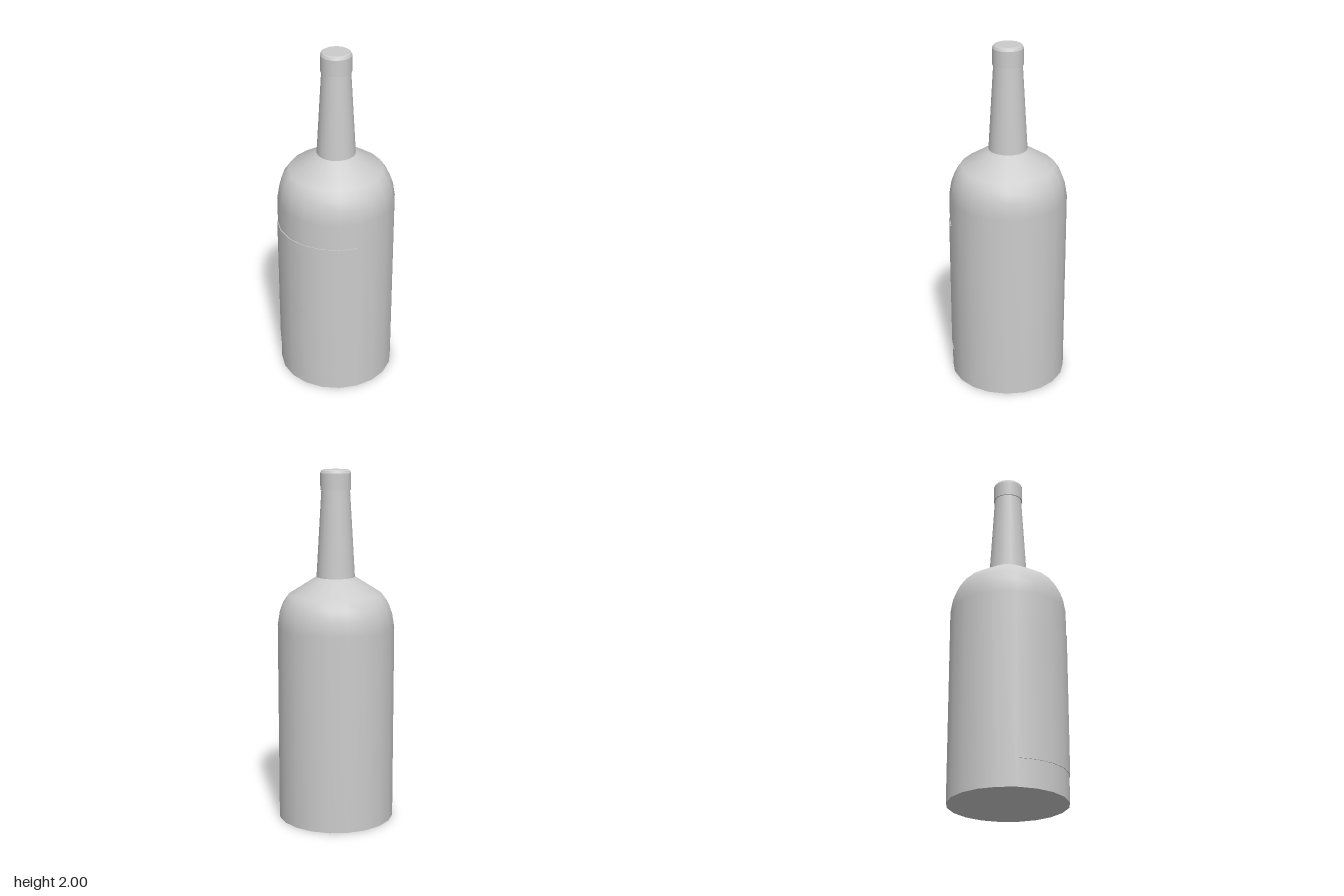
import * as THREE from 'three';

const SIDES = 20;
const material = new THREE.MeshStandardMaterial({ color: 0xcccccc });
const thinMaterial = new THREE.MeshStandardMaterial({ color: 0xcccccc, side: THREE.DoubleSide });

// One smooth turned surface; separate surfaces keep the edges between them sharp
function turned(profile, mat = material, sides = SIDES, start = 0, sweep = Math.PI * 2) {
  const points = profile.map(([r, y]) => new THREE.Vector2(r, y));
  return new THREE.Mesh(new THREE.LatheGeometry(points, sides, start, sweep), mat);
}

function part(name, profiles, ...options) {
  const group = new THREE.Group();
  group.name = name;
  for (const profile of profiles) group.add(turned(profile, ...options));
  return group;
}

export function createModel() {
  const bottle = new THREE.Group();
  bottle.name = 'bottle';

  // Flat base, straight wall and rounded shoulder
  bottle.add(part('body', [
    [[0, 0], [0.333, 0]],
    [[0.333, 0], [0.333, 1.12], [0.32, 1.2], [0.3, 1.255], [0.265, 1.305], [0.107, 1.405]],
  ]));

  // Tapered neck
  bottle.add(part('neck', [[[0.109, 1.4], [0.08, 1.89]]]));

  // Collar with a bevelled rim and flat top
  bottle.add(part('cap', [
    [[0.078, 1.89], [0.086, 1.89]],
    [[0.086, 1.89], [0.086, 1.982]],
    [[0.086, 1.982], [0.079, 1.995]],
    [[0.079, 1.995], [0.07, 2]],
    [[0.07, 2], [0, 2]],
  ]));

  // Thin label wrapped around the front, six body facets wide
  const facet = (Math.PI * 2) / SIDES;
  bottle.add(part('label', [
    [[0.332, 0.155], [0.337, 0.155]],
    [[0.337, 0.155], [0.337, 0.97]],
    [[0.337, 0.97], [0.332, 0.97]],
  ], thinMaterial, 6, -3 * facet, 6 * facet));

  return bottle;
}
